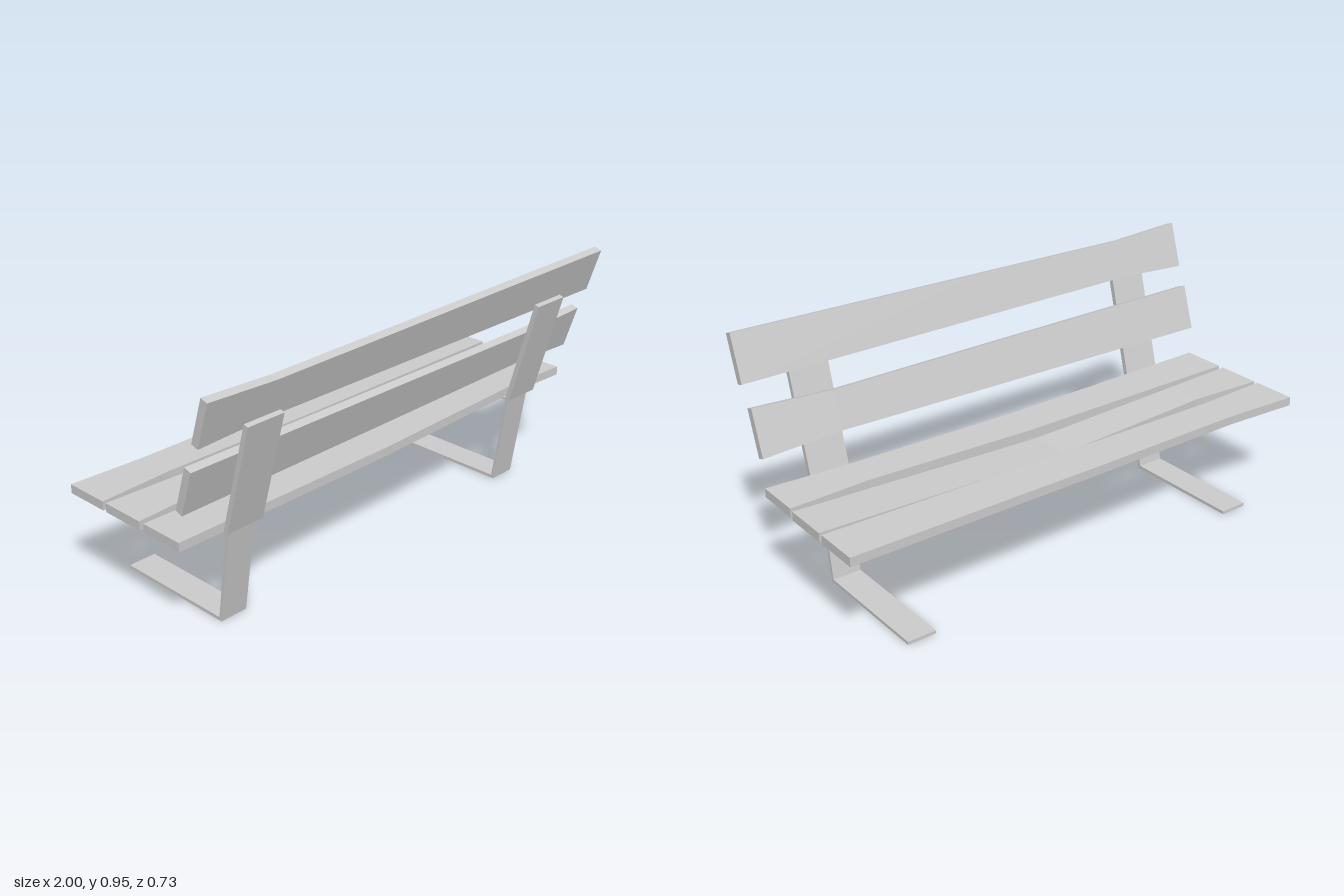
import * as THREE from 'three';

const material = new THREE.MeshStandardMaterial({ color: 0xcccccc, flatShading: true });

// Plank along x, slightly narrowed near one end (side = -1 or 1) and sagging by dip at mid-span.
function plank(name, { x0, x1, side, y, z, width, thick, tilt = 0, dip = 0 }) {
  const geo = new THREE.BoxGeometry(3, thick, width, 3, 1, 1);
  const stations = [x0, side < 0 ? -0.7 : -0.03, side < 0 ? -0.03 : 0.67, x1];
  const scales = side < 0 ? [1, 0.83, 0.9, 1] : [1, 0.91, 0.83, 1];
  const drops = side < 0 ? [0, 0, dip, 0] : [0, dip, 0, 0];
  const p = geo.attributes.position;
  const c = Math.cos(tilt), s = Math.sin(tilt);
  for (let i = 0; i < p.count; i++) {
    const k = Math.round(p.getX(i) + 1.5);
    const py = p.getY(i), pz = p.getZ(i) * scales[k];
    p.setXYZ(i, stations[k], y + py * c - pz * s - drops[k], z + py * s + pz * c);
  }
  geo.computeVertexNormals();
  const mesh = new THREE.Mesh(geo, material);
  mesh.name = name;
  return mesh;
}

// Bent flat bar: side profile in (z, y), extruded across x.
function bar(name, profile, width, x) {
  const shape = new THREE.Shape(profile.map(([z, y]) => new THREE.Vector2(z, y)));
  const geo = new THREE.ExtrudeGeometry(shape, { depth: width, bevelEnabled: false });
  geo.translate(0, 0, -width / 2).rotateY(-Math.PI / 2);
  const mesh = new THREE.Mesh(geo, material);
  mesh.name = name;
  mesh.position.x = x;
  return mesh;
}

export function createModel() {
  const bench = new THREE.Group();
  bench.name = 'bench';

  // Seat planks
  const seat = { y: 0.401, width: 0.178, thick: 0.034 };
  bench.add(
    plank('seatPlankFront', { ...seat, x0: -1, x1: 0.99, side: -1, z: -0.276, dip: 0.003 }),
    plank('seatPlankMiddle', { ...seat, x0: -1, x1: 0.99, side: -1, z: -0.082, dip: 0.029 }),
    plank('seatPlankRear', { ...seat, x0: -1, x1: 0.985, side: 1, z: 0.118, dip: 0.011 }),
  );

  // Backrest planks, leaning backwards
  const back = { width: 0.178, thick: 0.031, tilt: -Math.atan2(0.17, 0.055) };
  bench.add(
    plank('backPlankUpper', { ...back, x0: -0.988, x1: 1, side: -1, y: 0.864, z: 0.3225 }),
    plank('backPlankLower', { ...back, x0: -1, x1: 0.985, side: 1, y: 0.612, z: 0.2435 }),
  );

  // Metal supports: a wide seat-and-back bracket on a narrower leg with a foot
  const bracket = [[0.339, 0.798], [0.32, 0.803], [0.204, 0.386],
    [-0.336, 0.386], [-0.336, 0.377], [0.222, 0.377]];
  const leg = [[0.206, 0.379], [0.19, 0.379], [0.135, 0.013],
    [-0.355, 0.013], [-0.355, 0.001], [0.145, 0]];
  for (const [label, x] of [['right', -0.734], ['left', 0.73]]) {
    const support = new THREE.Group();
    support.name = label + 'Support';
    support.add(bar('bracket', bracket, 0.155, x), bar('leg', leg, 0.112, x));
    bench.add(support);
  }
  return bench;
}
